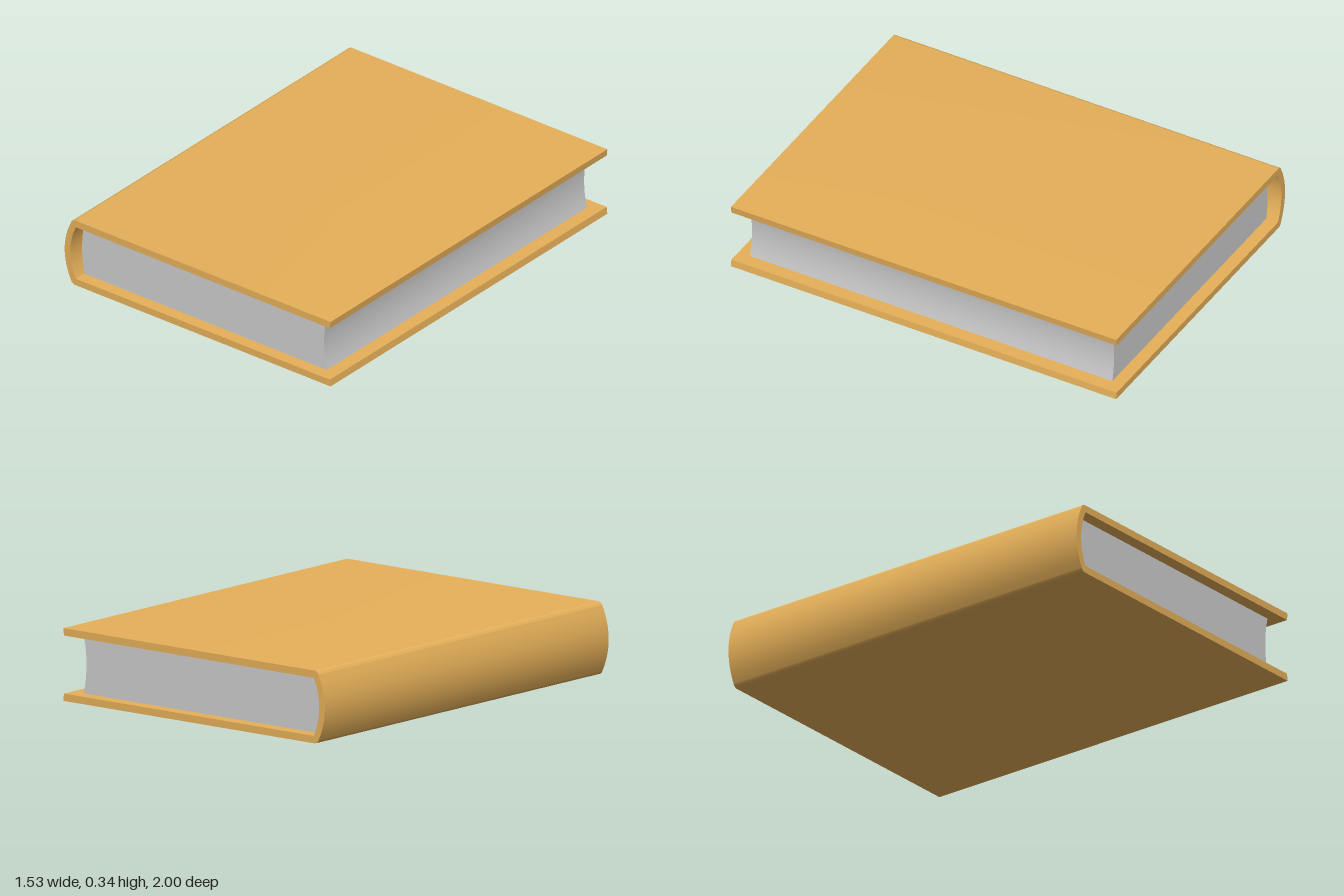
import * as THREE from 'three';
import { toCreasedNormals } from 'three/addons/utils/BufferGeometryUtils.js';

const HEIGHT = 0.335, MID = HEIGHT / 2, BOARD = 0.034;
const INNER_TOP = HEIGHT - BOARD;

// Extrudes a front-facing profile along z, centred, with smooth curves and sharp corners
function extrudePart(name, shape, depth, color) {
  const solid = new THREE.ExtrudeGeometry(shape, { depth, bevelEnabled: false, curveSegments: 12 });
  solid.translate(0, 0, -depth / 2);
  const mesh = new THREE.Mesh(toCreasedNormals(solid, 0.5), new THREE.MeshStandardMaterial({ color }));
  mesh.name = name;
  return mesh;
}

// Two boards joined by a bowed spine, as one C-shaped profile
function coverShape() {
  const s = new THREE.Shape();
  s.moveTo(0.765, HEIGHT);
  s.lineTo(-0.705, HEIGHT);
  s.quadraticCurveTo(-0.724, HEIGHT, -0.731, 0.318);
  s.quadraticCurveTo(-0.805, MID, -0.731, HEIGHT - 0.318);
  s.quadraticCurveTo(-0.724, 0, -0.705, 0);
  s.lineTo(0.765, 0);
  s.lineTo(0.761, BOARD);
  s.lineTo(-0.703, BOARD);
  s.quadraticCurveTo(-0.767, MID, -0.703, INNER_TOP);
  s.lineTo(0.761, INNER_TOP);
  s.closePath();
  return s;
}

// Page block, rounded at the spine and hollowed at the fore edge
function pagesShape() {
  const s = new THREE.Shape();
  s.moveTo(-0.702, BOARD);
  s.lineTo(0.695, BOARD);
  s.quadraticCurveTo(0.663, MID, 0.695, INNER_TOP);
  s.lineTo(-0.702, INNER_TOP);
  s.quadraticCurveTo(-0.728, MID, -0.702, BOARD);
  return s;
}

export function createModel() {
  const book = new THREE.Group();
  book.name = 'book';
  book.add(
    extrudePart('cover', coverShape(), 2, 0xe6b059),
    extrudePart('pages', pagesShape(), 1.88, 0xcccccc)
  );
  return book;
}
